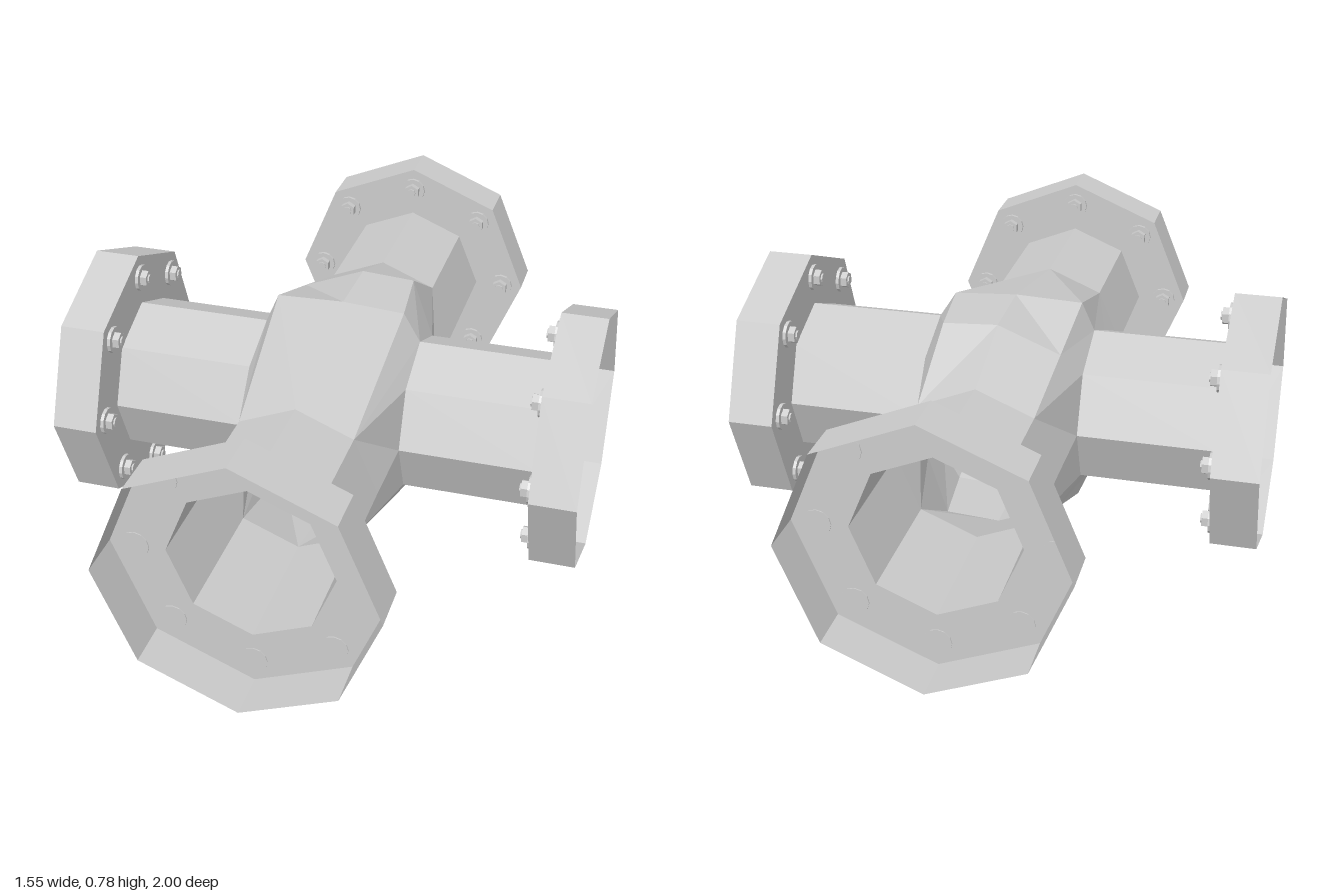
import * as THREE from 'three';

const CY = 0.393;      // height of both pipe axes
const PIPE_R = 0.234;
const FLANGE_R = 0.392;
const BOLT_R = 0.32;
const CROSS_Z = 0.007; // the cross pipe sits slightly forward

const metal = new THREE.MeshStandardMaterial({ color: 0xcccccc, flatShading: true });
const shell = new THREE.MeshStandardMaterial({ color: 0xcccccc, flatShading: true, side: THREE.DoubleSide });

function mesh(name, geometry, material = metal) {
  const m = new THREE.Mesh(geometry, material);
  m.name = name;
  return m;
}

// Octagon with a corner straight up
function octagon(r, path) {
  const pts = [];
  for (let i = 0; i < 8; i++) {
    const a = i * Math.PI / 4;
    pts.push(new THREE.Vector2(r * Math.cos(a), r * Math.sin(a)));
  }
  return path.setFromPoints(pts);
}

// Cylinder lying along z from z0 to z1
function rod(name, r, z0, z1, sides) {
  const g = new THREE.CylinderGeometry(r, r, z1 - z0, sides);
  g.rotateX(Math.PI / 2).translate(0, 0, (z0 + z1) / 2);
  return mesh(name, g);
}

// Open octagonal wall along z
function tube(name, r, z0, z1) {
  const g = new THREE.CylinderGeometry(r, r, z1 - z0, 8, 1, true);
  g.rotateX(Math.PI / 2).translate(0, 0, (z0 + z1) / 2);
  return mesh(name, g, shell);
}

// One arm along +z: pipe, cup-shaped flange and eight bolts
function makeArm(name, start, inner, end) {
  const arm = new THREE.Group();
  arm.name = name;
  arm.add(tube('pipe', PIPE_R, start, inner));

  // Flange: ring plate on the pipe side with a thin rim reaching outward
  const shape = octagon(FLANGE_R, new THREE.Shape());
  shape.holes.push(octagon(PIPE_R, new THREE.Path()));
  const plate = new THREE.ShapeGeometry(shape);
  plate.translate(0, 0, inner);
  arm.add(mesh('flangePlate', plate, shell), tube('flangeRim', FLANGE_R, inner, end));

  for (let i = 0; i < 8; i++) {
    const a = i * Math.PI / 4;
    const bolt = new THREE.Group();
    bolt.name = 'bolt';
    bolt.position.set(BOLT_R * Math.cos(a), BOLT_R * Math.sin(a), 0);
    bolt.add(
      rod('washer', 0.04, inner - 0.01, inner + 0.003, 12),
      rod('nut', 0.026, inner - 0.03, inner - 0.01, 6),
      rod('studEnd', 0.014, inner - 0.035, inner - 0.03, 8)
    );
    arm.add(bolt);
  }
  arm.position.y = CY;
  return arm;
}

// Swollen junction: top and bottom strips plus side walls opened for the cross pipes
function makeJunction() {
  const pos = [];
  const tri = (a, b, c, flip) => pos.push(...a, ...(flip ? c : b), ...(flip ? b : c));
  const quad = (a, b, c, d, flip) => { tri(a, b, c, flip); tri(a, c, d, flip); };

  // Rings from front to back: z and height of the ridge, then [x, height] of each strip edge
  const pipeX = PIPE_R * Math.SQRT1_2;
  const rings = [
    { z: 0.465, ridge: PIPE_R, left: [pipeX, pipeX], right: [-pipeX, pipeX] },
    { z: 0, ridge: 0.328, left: [0.185, 0.316], right: [-0.2, 0.321] },
    { z: -0.22, ridge: 0.322, left: [0.16, 0.312], right: [-0.184, 0.248] },
    { z: -0.465, ridge: PIPE_R, left: [pipeX, pipeX], right: [-pipeX, pipeX] }
  ];

  for (const sx of [1, -1]) {
    for (const sy of [1, -1]) {
      const flip = sx * sy < 0;
      const edge = rings.map(r => {
        const [x, h] = sx > 0 ? r.left : r.right;
        return [x, sy * h, r.z];
      });
      const ridge = rings.map(r => [0, sy * r.ridge, r.z]);
      for (let i = 0; i < 3; i++) quad(ridge[i], edge[i], edge[i + 1], ridge[i + 1], flip);

      // Half of the octagonal opening, front to back
      const hole = [];
      for (let i = 0; i <= 4; i++) {
        const a = i * Math.PI / 4;
        hole.push([sx * 0.237, sy * PIPE_R * Math.sin(a), CROSS_Z + PIPE_R * Math.cos(a)]);
      }
      const front = [sx * PIPE_R, 0, 0.465];
      const back = [sx * PIPE_R, 0, -0.465];
      quad(edge[0], front, hole[0], hole[1], flip);
      quad(edge[0], hole[1], hole[2], edge[1], flip);
      tri(edge[1], hole[2], edge[2], flip);
      tri(edge[2], hole[2], hole[3], flip);
      tri(edge[2], hole[3], edge[3], flip);
      quad(edge[3], hole[3], hole[4], back, flip);
    }
  }

  const g = new THREE.BufferGeometry();
  g.setAttribute('position', new THREE.Float32BufferAttribute(pos, 3));
  g.computeVertexNormals();
  const m = mesh('junction', g, shell);
  m.position.y = CY;
  return m;
}

export function createModel() {
  const model = new THREE.Group();
  model.name = 'pipeCross';
  model.add(makeJunction());
  ['frontArm', 'leftArm', 'backArm', 'rightArm'].forEach((name, i) => {
    const cross = i % 2 === 1;
    const arm = cross ? makeArm(name, 0.237, 0.642, 0.777) : makeArm(name, 0.465, 0.865, 1);
    arm.rotation.y = i * Math.PI / 2;
    if (cross) arm.position.z = CROSS_Z;
    model.add(arm);
  });
  return model;
}
